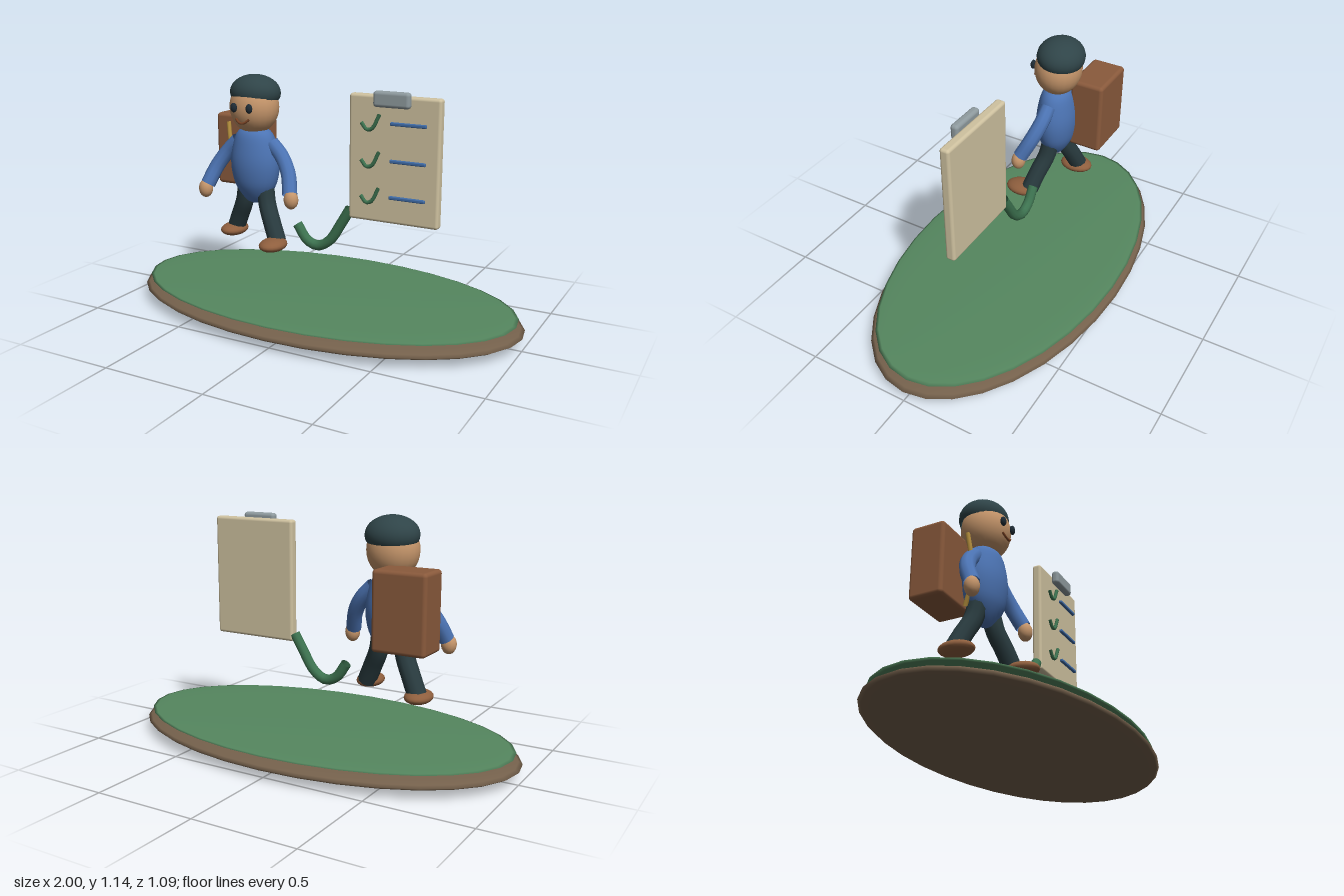
import * as THREE from 'three';
import { RoundedBoxGeometry } from 'three/addons/geometries/RoundedBoxGeometry.js';

const mat = (color) => new THREE.MeshStandardMaterial({ color, side: THREE.DoubleSide });
const M = {
  earth: mat(0x75614c), grass: mat(0x55875f), skin: mat(0xc6966b), hair: mat(0x2f4448),
  shirt: mat(0x4c74b4), trousers: mat(0x293b3f), shoe: mat(0x8f5f3e), pack: mat(0x8a5a3c),
  strap: mat(0xb8923f), eye: mat(0x1f2c36), mouth: mat(0x7c4526), board: mat(0xcfc2a0),
  clip: mat(0x8f9b9f), tick: mat(0x3d7350), line: mat(0x3f6ca8),
};

function add(parent, name, geometry, material, x = 0, y = 0, z = 0) {
  const mesh = new THREE.Mesh(geometry, material);
  mesh.name = name;
  mesh.position.set(x, y, z);
  parent.add(mesh);
  return mesh;
}

// Ellipsoid with the given radii
function ball(parent, name, material, pos, radii, w = 24, h = 16) {
  const geometry = new THREE.SphereGeometry(1, w, h).scale(...radii);
  return add(parent, name, geometry, material, ...pos);
}

function tube(parent, name, material, points, radius, segments = 14, sides = 10) {
  const curve = new THREE.CatmullRomCurve3(points.map((p) => new THREE.Vector3(...p)));
  return add(parent, name, new THREE.TubeGeometry(curve, segments, radius, sides), material);
}

function box(parent, name, material, min, max, r) {
  const s = max.map((v, i) => v - min[i]);
  const c = max.map((v, i) => (v + min[i]) / 2);
  return add(parent, name, new RoundedBoxGeometry(...s, 3, r), material, ...c);
}

function buildWalker() {
  const walker = new THREE.Group();
  walker.name = 'walker';
  walker.position.x = -0.375;

  // Torso: turned profile, flattened front to back
  const profile = [[0, 0.51], [0.045, 0.517], [0.1, 0.585], [0.122, 0.65], [0.128, 0.72],
    [0.117, 0.79], [0.095, 0.855], [0.055, 0.885], [0, 0.895]];
  const spline = new THREE.SplineCurve(profile.map((p) => new THREE.Vector2(...p)));
  const points = spline.getPoints(24).map((p) => new THREE.Vector2(Math.max(0, p.x), p.y));
  add(walker, 'torso', new THREE.LatheGeometry(points, 28).scale(1, 1, 0.75), M.shirt);

  // Head, hair cap and face
  ball(walker, 'head', M.skin, [0, 0.985, 0], [0.123, 0.13, 0.114]);
  const cap = new THREE.SphereGeometry(1, 24, 14, 0, Math.PI * 2, 0, Math.PI * 0.61);
  const hair = add(walker, 'hair', cap.scale(0.126, 0.088, 0.114), M.hair, 0, 1.054, -0.012);
  hair.rotation.x = -0.09;
  tube(walker, 'mouth', M.mouth,
    [[-0.036, 0.94, 0.107], [-0.018, 0.925, 0.113], [0, 0.92, 0.115],
      [0.018, 0.925, 0.113], [0.036, 0.94, 0.107]], 0.006, 14, 6);

  for (const s of [-1, 1]) {
    ball(walker, 'eye', M.eye, [s * 0.043, 0.993, 0.114], [0.017, 0.023, 0.013], 14, 10);

    // Arms swing slightly forward
    tube(walker, 'arm', M.shirt,
      [[s * 0.095, 0.815, 0], [s * 0.155, 0.755, 0.005], [s * 0.205, 0.68, 0.03],
        [s * 0.237, 0.59, 0.072]], 0.037);
    ball(walker, 'hand', M.skin, [s * 0.247, 0.567, 0.078], [0.036, 0.046, 0.034], 16, 12);

    // Striding legs: the left one steps forward
    const z = s > 0 ? 0.062 : -0.052;
    tube(walker, 'leg', M.trousers,
      [[s * 0.055, 0.6, 0], [s * 0.075, 0.51, z * 0.25], [s * 0.115, 0.43, z * 0.65],
        [s * 0.158, 0.345, z]], 0.045);
    ball(walker, 'shoe', M.shoe, [s * 0.16, 0.339, s > 0 ? 0.105 : -0.04],
      [0.063, 0.032, 0.085], 20, 12);
  }

  // Backpack and its straps
  box(walker, 'backpack', M.pack, [-0.268, 0.565, -0.23], [-0.01, 0.928, -0.06], 0.018);
  for (const dx of [0, 0.1]) {
    tube(walker, 'backpackStrap', M.strap,
      [[dx - 0.155, 0.9, -0.005], [dx - 0.14, 0.8, 0.005], [dx - 0.118, 0.68, 0],
        [dx - 0.1, 0.57, -0.04]], 0.011, 12, 8);
  }
  return walker;
}

function buildChecklist() {
  const list = new THREE.Group();
  list.name = 'checklist';
  box(list, 'board', M.board, [0.15, 0.503, -0.024], [0.595, 1.09, 0.024], 0.014);
  box(list, 'clip', M.clip, [0.283, 1.04, 0.022], [0.46, 1.113, 0.062], 0.016);

  // Three ticked rows
  for (const y of [0.968, 0.798, 0.63]) {
    tube(list, 'tick', M.tick,
      [[0.222, y - 0.003, 0.042], [0.25, y - 0.034, 0.042], [0.276, y - 0.026, 0.042],
        [0.31, y + 0.037, 0.042]], 0.009, 12, 8);
    box(list, 'rowLine', M.line, [0.362, y - 0.008, 0.028], [0.535, y + 0.008, 0.044], 0.005);
  }
  return list;
}

export function createModel() {
  const model = new THREE.Group();
  model.name = 'walkerWithChecklist';

  // Ground: a flat earth disc with a thin grass layer
  ball(model, 'earth', M.earth, [0, 0.057, 0], [1, 0.057, 0.545], 32, 16);
  ball(model, 'grass', M.grass, [0, 0.106, 0], [0.97, 0.017, 0.525], 32, 16);

  model.add(buildWalker(), buildChecklist());

  // Curved trail leading to the board
  tube(model, 'trail', M.tick,
    [[-0.138, 0.428, 0], [-0.085, 0.355, 0], [-0.025, 0.334, 0], [0.04, 0.37, 0],
      [0.1, 0.46, 0], [0.148, 0.54, 0]], 0.025, 16, 10);
  return model;
}
